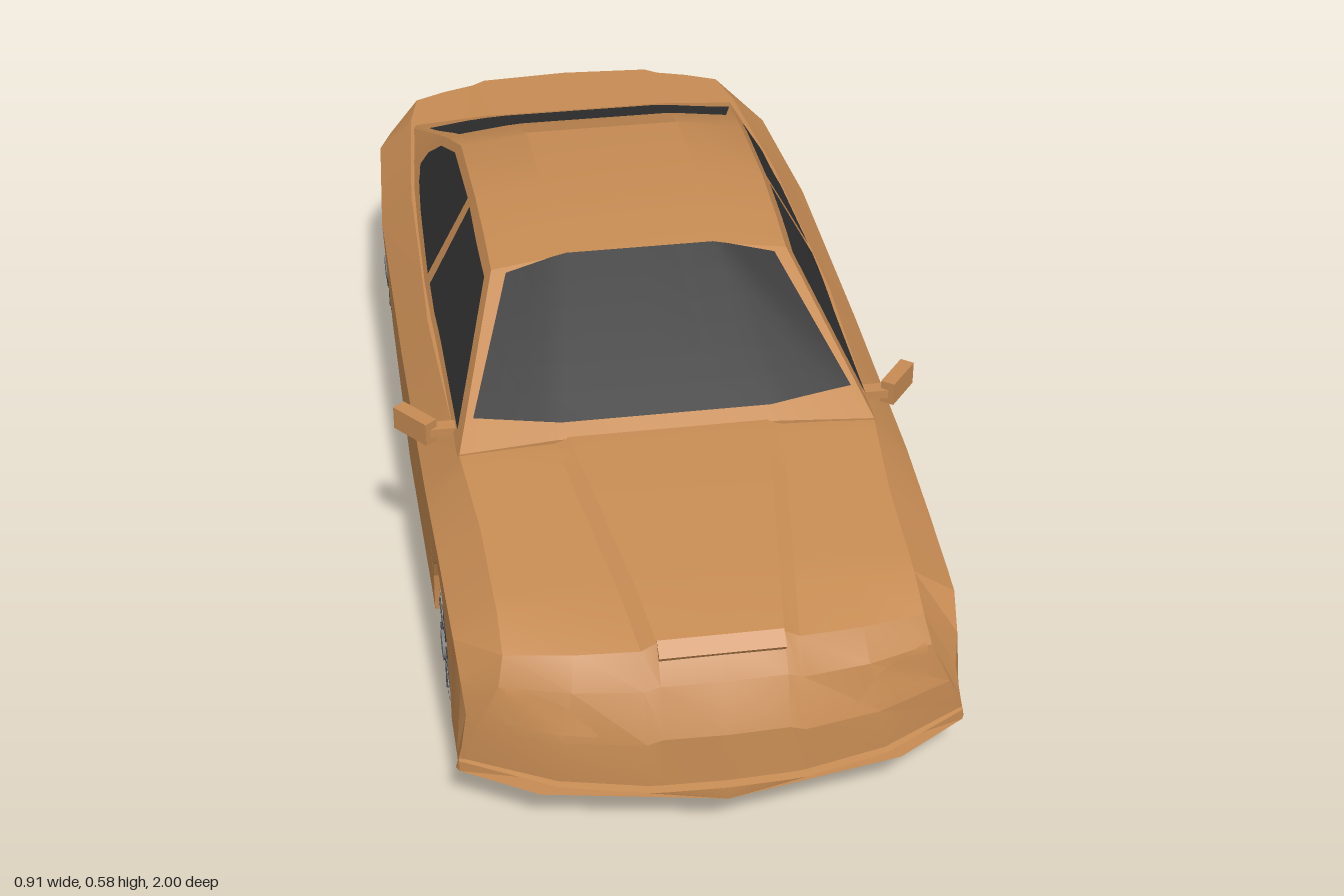
import * as THREE from 'three';
import { toCreasedNormals } from 'three/addons/utils/BufferGeometryUtils.js';

const mat = (name, color, side = THREE.FrontSide) => {
  const m = new THREE.MeshStandardMaterial({ color, side });
  m.name = name;
  return m;
};
const { lerp, clamp } = THREE.MathUtils;

// Interpolate a table of rows keyed by descending z
function sample(table, z) {
  let i = 0;
  while (i < table.length - 2 && z < table[i + 1][0]) i++;
  const a = table[i], b = table[i + 1];
  const t = clamp((a[0] - z) / (a[0] - b[0]), 0, 1);
  return a.map((v, k) => lerp(v, b[k], t));
}

// Loft mirrored half sections [x, y] (top centre to bottom centre) from front to back
function loft(zs, half, bend) {
  const pos = [], idx = [];
  let n = 0;
  zs.forEach((z) => {
    const h = half(z);
    const ring = [...h, ...h.slice(1, -1).reverse().map(([x, y]) => [-x, y])];
    n = ring.length;
    ring.forEach(([x, y]) => pos.push(x, y, bend(x, z)));
  });
  for (let i = 0; i < zs.length - 1; i++)
    for (let j = 0; j < n; j++) {
      const a = i * n + j, b = i * n + ((j + 1) % n);
      idx.push(a, b, a + n, b, b + n, a + n);
    }
  // End caps
  const last = (zs.length - 1) * n, bot = n / 2;
  for (let j = 0; j < n; j++) {
    const k = (j + 1) % n;
    idx.push(bot, k, j, last + bot, last + j, last + k);
  }
  const g = new THREE.BufferGeometry();
  g.setAttribute('position', new THREE.Float32BufferAttribute(pos, 3));
  g.setIndex(idx);
  return toCreasedNormals(g, 0.3);
}

// z, top y, belt half width, belt y, shoulder half width, shoulder y, sill half width, floor y
const BODY = [
  [1.0, 0.118, 0.4, 0.117, 0.41, 0.115, 0.41, 0.095],
  [0.985, 0.12, 0.4, 0.119, 0.41, 0.116, 0.415, 0.095],
  [0.982, 0.21, 0.38, 0.19, 0.405, 0.14, 0.412, 0.095],
  [0.95, 0.29, 0.345, 0.27, 0.395, 0.2, 0.41, 0.095],
  [0.91, 0.345, 0.335, 0.315, 0.4, 0.25, 0.41, 0.095],
  [0.8, 0.366, 0.335, 0.345, 0.405, 0.295, 0.41, 0.095],
  [0.6, 0.386, 0.34, 0.366, 0.41, 0.312, 0.41, 0.095],
  [0.42, 0.402, 0.355, 0.385, 0.415, 0.32, 0.41, 0.095],
  [0, 0.4, 0.37, 0.39, 0.42, 0.325, 0.415, 0.095],
  [-0.47, 0.4, 0.36, 0.39, 0.42, 0.33, 0.41, 0.095],
  [-0.78, 0.4, 0.335, 0.387, 0.4, 0.33, 0.4, 0.138],
  [-0.92, 0.402, 0.315, 0.388, 0.375, 0.33, 0.38, 0.152],
  [-0.93, 0.39, 0.315, 0.375, 0.372, 0.32, 0.38, 0.154],
  [-0.962, 0.28, 0.34, 0.267, 0.368, 0.24, 0.375, 0.16],
  [-0.975, 0.197, 0.35, 0.194, 0.37, 0.19, 0.372, 0.163],
  [-1.0, 0.185, 0.35, 0.184, 0.37, 0.181, 0.37, 0.165],
];
const AXLES = [0.6, -0.63], ARCH = 0.143;

// z, roof y, roof edge half width, roof edge y, base half width
const CABIN = [
  [0.42, 0.4, 0.355, 0.388, 0.358],
  [0.1, 0.567, 0.262, 0.549, 0.365],
  [0, 0.577, 0.263, 0.56, 0.368],
  [-0.13, 0.583, 0.265, 0.566, 0.368],
  [-0.36, 0.567, 0.268, 0.549, 0.362],
  [-0.5, 0.512, 0.285, 0.495, 0.356],
  [-0.62, 0.457, 0.302, 0.441, 0.346],
  [-0.76, 0.398, 0.325, 0.388, 0.334],
];

function bodyHalf(z) {
  const [, yT, wB, yB, wS, yS, wL, yF] = sample(BODY, z);
  let yA = yF;
  for (const c of AXLES) {
    const d = Math.abs(z - c);
    if (d <= ARCH + 1e-6) yA = Math.max(yF, 0.13 + Math.sqrt(Math.max(0, ARCH * ARCH - d * d)));
  }
  const hb = 0.1 + 0.07 * clamp((0.9 - z) / 0.48, 0, 1); // raised hood centre
  const x3 = hb + 0.025, y3 = lerp(yT, yB, 0.5);
  return [[0, yT], [hb, yT], [x3, y3], [(x3 + wB) / 2, lerp(y3, yB, 0.4)], [wB, yB],
    [wS, yS], [wL, yA], [0.29, yA], [0.29, yF], [0, yF]];
}

// Round the nose and tail in plan
function bodyBend(x, z) {
  const over = Math.max(0, Math.abs(z) - 0.78);
  return z - Math.sign(z) * over * (z > 0 ? 0.62 : 0.75) * Math.pow(Math.abs(x) / 0.42, 2.5);
}

// Thin plate laid on the targets, between two polylines, projected along an axis
function plate(name, material, targets, axis, sign, low, high) {
  const ray = new THREE.Raycaster(), dir = new THREE.Vector3().setComponent(axis, -sign);
  const [u, v] = [[2, 1], [0, 2], [0, 1]][axis];
  const pos = [], idx = [], S = 4, R = 6, cols = (low.length - 1) * S;
  for (let i = 0; i <= cols; i++) {
    const k = Math.min(Math.floor(i / S), low.length - 2), t = i / S - k;
    for (let j = 0; j <= R; j++) {
      const at = (c) => lerp(lerp(low[k][c], low[k + 1][c], t), lerp(high[k][c], high[k + 1][c], t), j / R);
      const p = new THREE.Vector3().setComponent(axis, 2 * sign).setComponent(u, at(0)).setComponent(v, at(1));
      ray.set(p, dir);
      const hit = ray.intersectObjects(targets)[0];
      const q = hit ? hit.point.clone() : p.setComponent(axis, pos.length ? pos[pos.length - 3 + axis] : 0);
      q.addScaledVector(dir, hit ? -0.005 : 0);
      pos.push(q.x, q.y, q.z);
      if (i < cols && j < R) {
        const a = i * (R + 1) + j, b = a + R + 1;
        idx.push(a, b, a + 1, b, b + 1, a + 1);
      }
    }
  }
  const g = new THREE.BufferGeometry();
  g.setAttribute('position', new THREE.Float32BufferAttribute(pos, 3));
  g.setIndex(idx);
  g.computeVertexNormals();
  const m = new THREE.Mesh(g, material);
  m.name = name;
  return m;
}

function wheel(tyre, spokeMat, hubMat) {
  const g = new THREE.Group();
  const add = (name, geo, material, y) => {
    const m = new THREE.Mesh(geo, material);
    m.name = name;
    m.position.y = y;
    g.add(m);
    return m;
  };
  const flat = (geo) => toCreasedNormals(geo, 0.6);
  add('tyre', flat(new THREE.CylinderGeometry(0.135, 0.135, 0.08, 16)), tyre, 0.04);
  add('tyreShoulder', flat(new THREE.CylinderGeometry(0.112, 0.135, 0.022, 16)), tyre, 0.091);
  add('hub', flat(new THREE.CylinderGeometry(0.024, 0.028, 0.01, 10)), hubMat, 0.106);
  for (let i = 0; i < 10; i++) {
    const a = (i / 10) * Math.PI * 2;
    const s = add('spoke', new THREE.BoxGeometry(0.07, 0.005, 0.009), spokeMat, 0.104);
    s.position.x = Math.cos(a) * 0.056;
    s.position.z = -Math.sin(a) * 0.056;
    s.rotation.y = a;
  }
  return g;
}

export function createModel() {
  const car = new THREE.Group();
  car.name = 'car';
  const paint = mat('orangePaint', 0xc68b53, THREE.DoubleSide);
  const glass = mat('darkGlass', 0x303030, THREE.DoubleSide);
  const tyre = mat('blackRubber', 0x2a2a2a);
  const spokeMat = mat('spokeGrey', 0x505050);
  const hubMat = mat('hubGrey', 0x858585);
  const red = mat('lampRed', 0xc84a48, THREE.DoubleSide);
  const grey = mat('plateGrey', 0x707070, THREE.DoubleSide);

  // Body shell with wheel arches
  const zs = BODY.map((r) => r[0]);
  for (const c of AXLES) {
    zs.push(c + ARCH + 0.002, c - ARCH - 0.002);
    for (let i = 0; i <= 10; i++) zs.push(c + ARCH * Math.cos((i / 10) * Math.PI));
  }
  zs.sort((a, b) => b - a);
  const body = new THREE.Mesh(loft(zs.filter((z, i) => !i || zs[i - 1] - z > 1e-5), bodyHalf, bodyBend), paint);
  body.name = 'body';

  // Cabin
  const cabinHalf = (z) => {
    const [, yT, wR, yR, wB] = sample(CABIN, z);
    return [[0, yT], [wR * 0.54, yT], [wR, yR], [wB, 0.382], [0, 0.38]];
  };
  const cabin = new THREE.Mesh(loft(CABIN.map((r) => r[0]), cabinHalf, (x, z) => z), paint);
  cabin.name = 'cabin';
  car.add(body, cabin);

  // Windows
  const shell = [cabin, body];
  car.add(plate('windscreen', glass, shell, 1, 1,
    [[-0.325, 0.365], [-0.18, 0.395], [0.18, 0.395], [0.325, 0.365]],
    [[-0.238, 0.115], [-0.13, 0.1], [0.13, 0.1], [0.238, 0.115]]));
  car.add(plate('rearWindow', glass, shell, 1, 1,
    [[-0.262, -0.475], [-0.14, -0.47], [0.14, -0.47], [0.262, -0.475]],
    [[-0.305, -0.665], [-0.15, -0.685], [0.15, -0.685], [0.305, -0.665]]));
  for (const s of [1, -1]) {
    const side = s > 0 ? 'left' : 'right';
    car.add(plate(side + 'FrontWindow', glass, shell, 0, s,
      [[0.365, 0.402], [0.25, 0.404], [0.1, 0.407], [-0.1, 0.41]],
      [[0.355, 0.408], [0.25, 0.462], [0.1, 0.537], [-0.12, 0.553]]));
    car.add(plate(side + 'RearWindow', glass, shell, 0, s,
      [[-0.135, 0.41], [-0.36, 0.412], [-0.48, 0.415], [-0.54, 0.418]],
      [[-0.152, 0.553], [-0.36, 0.536], [-0.48, 0.488], [-0.535, 0.445]]));

    // Lamps
    car.add(plate(side + 'Headlight', paint, [body], 2, 1,
      [[s * 0.2, 0.212], [s * 0.26, 0.212], [s * 0.34, 0.212]],
      [[s * 0.2, 0.217], [s * 0.25, 0.258], [s * 0.335, 0.28]]));
    car.add(plate(side + 'TailLight', red, [body], 2, -1,
      [[s * 0.18, 0.325], [s * 0.28, 0.308]], [[s * 0.175, 0.366], [s * 0.29, 0.366]]));

    // Door mirror
    const mirror = new THREE.Mesh(new THREE.BoxGeometry(0.08, 0.042, 0.025), paint);
    mirror.name = side + 'Mirror';
    mirror.position.set(s * 0.42, 0.387, 0.315);
    mirror.rotation.y = s * 0.9;
    const arm = new THREE.Mesh(new THREE.BoxGeometry(0.06, 0.016, 0.025), paint);
    arm.name = side + 'MirrorArm';
    arm.position.set(s * 0.37, 0.385, 0.335);
    car.add(mirror, arm);

    // Wheels
    AXLES.forEach((z, i) => {
      const w = wheel(tyre, spokeMat, hubMat);
      w.name = side + (i ? 'RearWheel' : 'FrontWheel');
      w.position.set(s * 0.3, 0.135, z);
      w.rotation.z = -s * Math.PI / 2;
      car.add(w);
    });
  }
  car.add(plate('numberPlate', grey, [body], 2, -1,
    [[-0.12, 0.202], [0, 0.202], [0.12, 0.202]], [[-0.12, 0.26], [0, 0.26], [0.12, 0.26]]));

  // Hood vent
  const vent = new THREE.Mesh(new THREE.BoxGeometry(0.2, 0.012, 0.03), paint);
  vent.name = 'hoodVent';
  vent.position.set(0, 0.335, 0.915);
  vent.rotation.x = 0.6;
  car.add(vent);
  return car;
}
